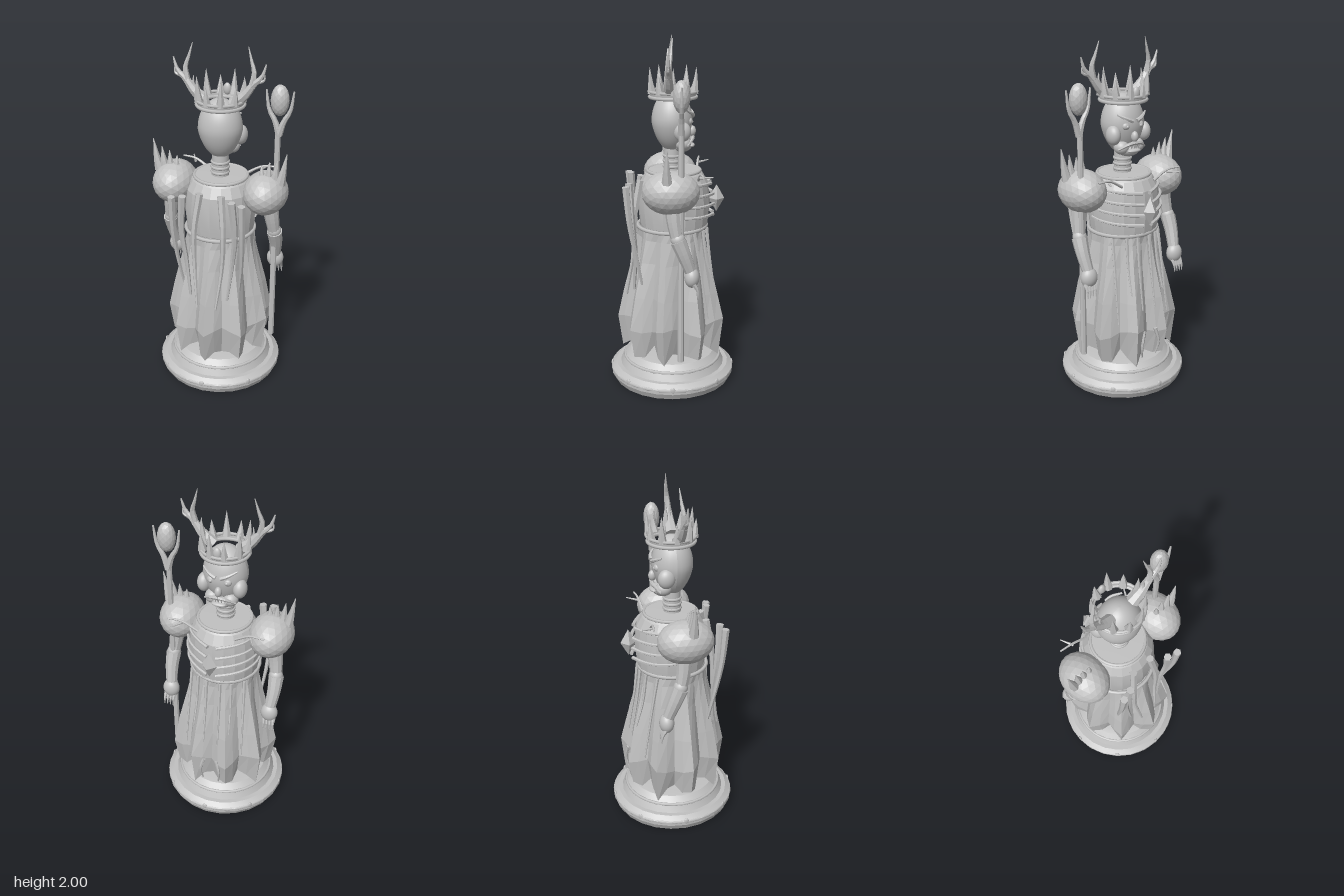
import * as THREE from 'three';
import { toCreasedNormals } from 'three/addons/utils/BufferGeometryUtils.js';

const stone = new THREE.MeshStandardMaterial({ color: 0xc0c0c0, side: THREE.DoubleSide });
stone.name = 'grey stone';
const V = (x, y, z) => new THREE.Vector3(x, y, z);

export function createModel() {
  const model = new THREE.Group();
  model.name = 'antleredKing';

  function add(name, geo, pos = [0, 0, 0], scale = [1, 1, 1], rot = [0, 0, 0]) {
    const m = new THREE.Mesh(geo, stone);
    m.name = name;
    m.position.set(...pos);
    m.scale.set(...scale);
    m.rotation.set(...rot);
    model.add(m);
    return m;
  }
  const flat = (g) => {
    const f = g.index ? g.toNonIndexed() : g;
    f.computeVertexNormals();
    return f;
  };
  const ball = (name, pos, scale) => add(name, new THREE.SphereGeometry(1, 24, 16), pos, scale);
  const ring = (name, r, tube, y, z = 0) =>
    add(name, new THREE.TorusGeometry(r, tube, 6, 32), [0, y, z], [1, 1, 1], [Math.PI / 2, 0, 0]);
  const lathe = (name, pts, sides, z = 0) =>
    add(name, toCreasedNormals(new THREE.LatheGeometry(pts.map((p) => new THREE.Vector2(...p)), sides), 0.25), [0, 0, z]);

  // Tapered tube along a smooth path, with a cap at its thick start
  function taper(name, pts, r0, r1, sides = 6, steps = 8) {
    const curve = new THREE.CatmullRomCurve3(pts.map((p) => V(...p)));
    const g = new THREE.TubeGeometry(curve, steps, 1, sides);
    const a = g.attributes.position, v = V(0, 0, 0);
    for (let i = 0; i < a.count; i++) {
      const t = Math.floor(i / (sides + 1)) / steps;
      const c = curve.getPointAt(t);
      v.fromBufferAttribute(a, i).sub(c).multiplyScalar(r0 + (r1 - r0) * t).add(c);
      a.setXYZ(i, v.x, v.y, v.z);
    }
    add(name, flat(g));
    const start = curve.getPointAt(0);
    const cap = add(name + 'Cap', new THREE.CircleGeometry(r0, sides), start.toArray());
    cap.lookAt(start.clone().sub(curve.getTangentAt(0)));
  }

  // Plinth with studs
  lathe('plinth', [[0, 0], [0.35, 0], [0.367, 0.035], [0.367, 0.06], [0.335, 0.085], [0.31, 0.085],
    [0.29, 0.125], [0.28, 0.135], [0.25, 0.165], [0.22, 0.17], [0, 0.17]], 24);
  ring('plinthRim', 0.358, 0.011, 0.055);
  ring('plinthUpperRim', 0.283, 0.01, 0.127);
  for (let i = 0; i < 8; i++) {
    const a = (i * Math.PI) / 4;
    const stud = ball('plinthStud', [0.362 * Math.sin(a), 0.06, 0.362 * Math.cos(a)], [0.015, 0.018, 0.007]);
    stud.rotation.y = a;
  }

  // Nine-fold robe with a ragged hem: rows of [height, radius, fold depth]
  const rows = [[0.205, 0.252, 0.15], [0.37, 0.28, 0.13], [0.55, 0.25, 0.11], [0.75, 0.21, 0.08], [0.88, 0.19, 0.04], [0.95, 0.188, 0]];
  const n = 36, pos = [], idx = [];
  rows.forEach(([y, r, fold], k) => {
    for (let i = 0; i < n; i++) {
      const a = (i / n) * Math.PI * 2, lobe = Math.cos(9 * a);
      const rr = r * (1 + fold * lobe + fold * 0.2 * Math.sin(3 * a + 1));
      const yy = y + (k === 0 ? 0.025 * Math.sin(i * 2.3) - 0.025 * lobe : k === 1 ? 0.025 * Math.sin(i * 0.9) : 0);
      pos.push(rr * Math.sin(a), yy, rr * Math.cos(a));
      if (k < rows.length - 1) {
        const p = k * n + i, q = k * n + ((i + 1) % n);
        idx.push(p, q, q + n, p, q + n, p + n);
      }
    }
  });
  const robe = new THREE.BufferGeometry();
  robe.setAttribute('position', new THREE.Float32BufferAttribute(pos, 3));
  robe.setIndex(idx);
  add('robe', flat(robe));

  // Torso, collar and belt
  lathe('torso', [[0.18, 0.92], [0.195, 0.95], [0.208, 1.08], [0.195, 1.19], [0.165, 1.245], [0.145, 1.265], [0, 1.268]], 20, -0.01);
  ring('belt', 0.198, 0.011, 0.94);
  ring('collar', 0.15, 0.01, 1.26, -0.01);

  // Ribs wrapped round the chest
  [[1.02, 0.21], [1.08, 0.213], [1.14, 0.208], [1.2, 0.195]].forEach(([y, r]) => {
    for (const s of [-1, 1]) {
      const pts = [0.12, 0.5, 0.9, 1.3, 1.65].map((a) =>
        [s * r * Math.sin(a), y - 0.015 + 0.018 * a, -0.012 - (r + (a < 0.2 ? 0.014 : 0)) * Math.cos(a)]);
      taper('rib', pts, 0.011, 0.006, 6, 12);
    }
  });
  add('chestGem', flat(new THREE.OctahedronGeometry(1, 0)), [0, 1.095, -0.255], [0.045, 0.08, 0.045]);

  // Neck and head, facing -z
  add('neck', new THREE.CylinderGeometry(0.046, 0.05, 0.15, 20), [0, 1.33, 0]);
  for (const y of [1.285, 1.315, 1.345]) ring('neckRing', 0.046, 0.009, y);
  const skull = new THREE.SphereGeometry(1, 32, 24), sp = skull.attributes.position;
  for (let i = 0; i < sp.count; i++) {
    const y = sp.getY(i), k = y < 0 ? 1 + 0.17 * y : 1;
    sp.setXYZ(i, sp.getX(i) * k, y, sp.getZ(i) * k);
  }
  skull.computeVertexNormals();
  add('head', skull, [0, 1.54, 0], [0.125, 0.17, 0.115]);
  ball('chin', [0, 1.405, -0.055], [0.068, 0.04, 0.058]);
  ball('nose', [0, 1.485, -0.112], [0.02, 0.03, 0.022]);
  ball('lip', [0, 1.405, -0.108], [0.042, 0.012, 0.02]);
  for (let i = -2; i <= 2; i++) {
    add('tooth', new THREE.ConeGeometry(0.008, 0.026, 6), [i * 0.017, 1.425, -0.113 + Math.abs(i) * 0.005], [1, 1, 1], [Math.PI, 0, 0]);
  }
  for (const s of [-1, 1]) {
    ball('cheek', [s * 0.102, 1.495, -0.055], [0.038, 0.055, 0.048]);
    ball('jowl', [s * 0.052, 1.422, -0.06], [0.042, 0.04, 0.045]);
    ball('eye', [s * 0.046, 1.545, -0.095], [0.024, 0.022, 0.018]);
    ball('pupil', [s * 0.046, 1.543, -0.11], [0.009, 0.009, 0.007]);
    taper('brow', [[s * 0.014, 1.572, -0.115], [s * 0.05, 1.588, -0.11], [s * 0.095, 1.61, -0.08]], 0.013, 0.005);
    taper('moustache', [[0, 1.45, -0.116], [s * 0.04, 1.444, -0.113], [s * 0.09, 1.415, -0.085]], 0.012, 0.005);
  }

  // Crown with spikes and a gem
  add('crownBand', new THREE.CylinderGeometry(0.132, 0.127, 0.035, 32, 1, true), [0, 1.69, -0.005]);
  ring('crownLowerRim', 0.13, 0.01, 1.675, -0.005);
  ring('crownUpperRim', 0.134, 0.009, 1.705, -0.005);
  for (let i = 0; i < 10; i++) {
    const a = ((i + 0.5) / 10) * Math.PI * 2, h = i % 2 ? 0.1 : 0.14;
    const x = Math.sin(a), z = Math.cos(a);
    taper('crownSpike', [[0.122 * x, 1.7, 0.122 * z - 0.005], [0.13 * x, 1.7 + h / 2, 0.13 * z - 0.005],
      [0.133 * x, 1.7 + h, 0.133 * z - 0.005]], 0.025, 0.001, 6, 3);
  }
  ball('crownGem', [0, 1.725, -0.125], [0.022, 0.034, 0.016]);

  for (const s of [-1, 1]) {
    // Antlers
    taper('antlerBeam', [[s * 0.075, 1.69, 0.015], [s * 0.14, 1.745, 0.018], [s * 0.19, 1.81, 0.02], [s * 0.232, 1.85, 0.022], [s * 0.255, 1.92, 0.02]], 0.036, 0.004, 7, 10);
    taper('antlerTine', [[s * 0.178, 1.79, 0.02], [s * 0.19, 1.87, 0.015], [s * 0.175, 1.92, 0.008], [s * 0.153, 2, 0]], 0.02, 0.002);
    taper('antlerTine', [[s * 0.2, 1.82, 0.02], [s * 0.245, 1.835, 0.022], [s * 0.25, 1.865, 0.022]], 0.014, 0.002);
    taper('antlerTine', [[s * 0.13, 1.735, 0.018], [s * 0.145, 1.79, 0.02], [s * 0.142, 1.83, 0.02]], 0.014, 0.002);

    // Shoulder balls and spikes
    add('shoulder', flat(new THREE.IcosahedronGeometry(1, 3)), [s * 0.268, 1.195, 0.01], [0.126, 0.121, 0.158]);
    [[0.25, 0.245, 1.36], [0.285, 0.29, 1.385], [0.32, 0.335, 1.405], [0.352, 0.385, 1.445]].forEach(([x0, x1, y]) =>
      taper('shoulderSpike', [[s * x0, 1.265, 0.03], [s * (x0 * 0.6 + x1 * 0.4), 1.325, 0.032], [s * x1, y, 0.03]], 0.03, 0.002, 7, 5));
    taper('shoulderThorn', [[s * 0.11, 1.225, -0.145], [s * 0.2, 1.275, -0.155], [s * 0.28, 1.28, -0.165]], 0.009, 0.005);
    taper('shoulderTwig', [[s * 0.2, 1.26, -0.15], [s * 0.22, 1.265, -0.19], [s * 0.235, 1.27, -0.22]], 0.008, 0.003);

    // Arms, hands and claws
    taper('upperArm', [[s * 0.285, 1.15, 0], [s * 0.303, 1.04, -0.008], [s * 0.315, 0.94, -0.025]], 0.05, 0.034, 10);
    ball('elbow', [s * 0.315, 0.945, -0.028], [0.04, 0.042, 0.04]);
    taper('forearm', [[s * 0.317, 0.94, -0.028], [s * 0.318, 0.86, -0.06], [s * 0.308, 0.75, -0.1]], 0.045, 0.032, 10);
    ball('hand', [s * 0.308, 0.725, -0.105], [0.05, 0.058, 0.042]);
    for (let i = 0; i < 4; i++) {
      const x = 0.284 + i * 0.018;
      taper('claw', [[s * x, 0.695, -0.115], [s * (x + 0.002), 0.66, -0.135], [s * (x + 0.004), 0.615, -0.14]], 0.014, 0.002, 6, 4);
    }

    // Cloak strands hanging at +z
    taper('cloakStrand', [[s * 0.2, 1.21, 0.255], [s * 0.2, 1, 0.237], [s * 0.188, 0.8, 0.203], [s * 0.168, 0.63, 0.172]], 0.022, 0.008, 6, 12);
    taper('cloakStrand', [[s * 0.14, 1.215, 0.24], [s * 0.155, 1, 0.225], [s * 0.135, 0.8, 0.21], [s * 0.11, 0.58, 0.22]], 0.022, 0.008, 6, 12);
    taper('cloakStrand', [[s * 0.062, 1.215, 0.18], [s * 0.085, 1, 0.215], [s * 0.08, 0.78, 0.225], [s * 0.055, 0.53, 0.265]], 0.022, 0.007, 6, 12);

    // Thin tatters on the robe at -z
    [[0.04, 0.5], [0.1, 0.6], [0.16, 0.42]].forEach(([x, y]) => {
      const d = (r) => -Math.sqrt(r * r - x * x);
      taper('tatter', [[s * x, 0.93, d(0.202)], [s * x * 1.04, 0.75, d(0.222)], [s * x * 1.1, y, d(0.26)]], 0.011, 0.004, 6, 10);
    });
    taper('hemTwig', [[s * 0.04, 0.37, -0.265], [s * 0.06, 0.28, -0.275], [s * 0.05, 0.2, -0.26]], 0.012, 0.004);
  }

  // Forked staff holding an egg-shaped stone
  add('staff', flat(new THREE.CylinderGeometry(0.016, 0.018, 1.34, 8)), [0.312, 0.89, -0.045]);
  for (const s of [-1, 1]) {
    taper('staffFork', [[0.318, 1.52, -0.045], [0.318 + s * 0.025, 1.6, -0.045], [0.318 + s * 0.058, 1.66, -0.045], [0.318 + s * 0.075, 1.77, -0.045]], 0.02, 0.005, 7, 8);
  }
  add('staffStone', flat(new THREE.IcosahedronGeometry(1, 2)), [0.318, 1.715, -0.045], [0.051, 0.087, 0.046]);

  return model;
}
